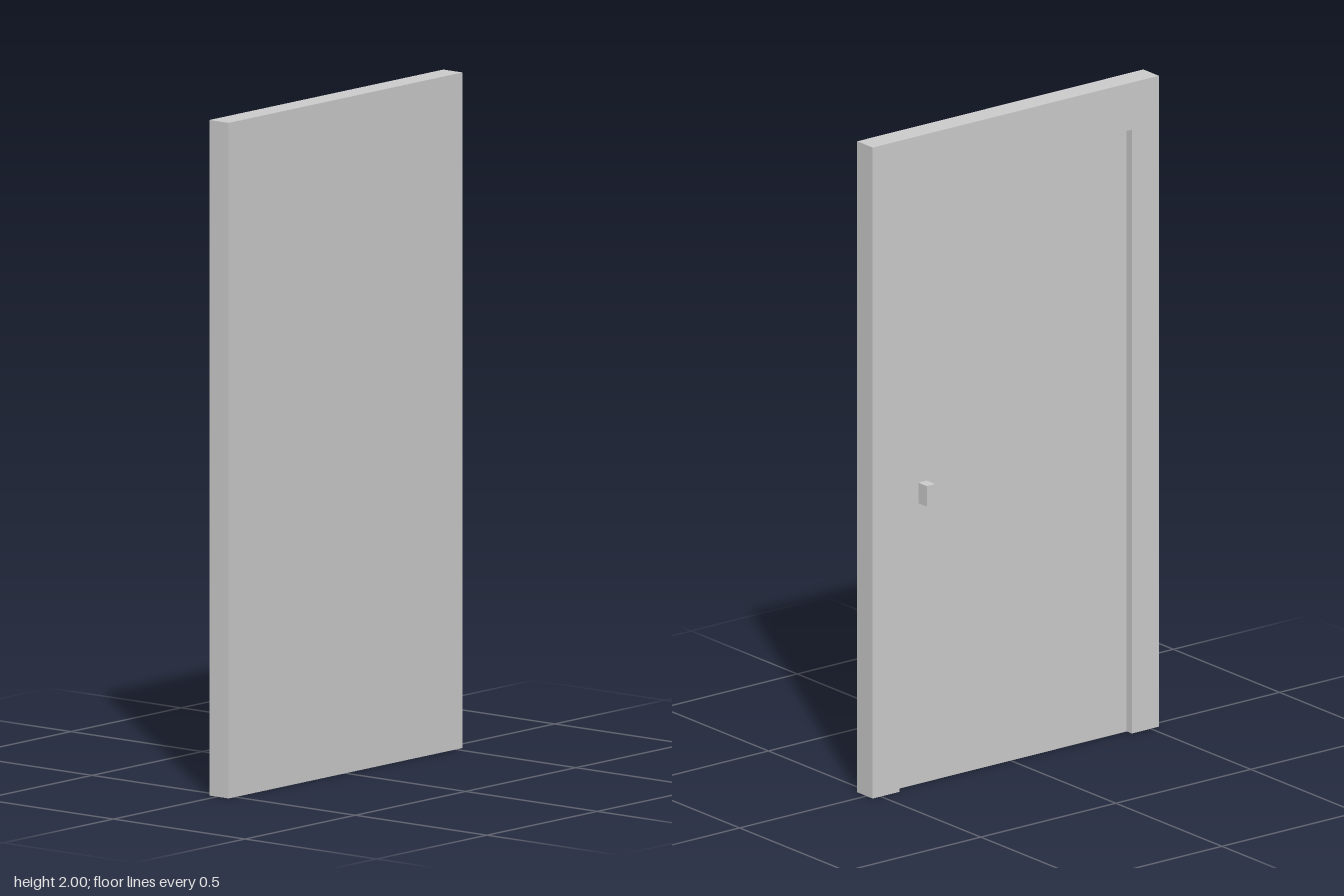
import * as THREE from 'three';

const W = 0.53, H = 2;              // half width (z) and height
const BACK = 0.044, PANEL = -0.005, FACE = -0.029, KNOB = -0.045; // x planes

export function createModel() {
  const group = new THREE.Group();
  const material = new THREE.MeshStandardMaterial({ color: 0xcccccc });
  const add = (name, geometry) => {
    const mesh = new THREE.Mesh(geometry, material);
    mesh.name = name;
    group.add(mesh);
    return mesh;
  };
  // box given by its limits on each axis
  const box = (name, [x0, x1], [y0, y1], [z0, z1]) =>
    add(name, new THREE.BoxGeometry(x1 - x0, y1 - y0, z1 - z0))
      .position.set((x0 + x1) / 2, (y0 + y1) / 2, (z0 + z1) / 2);

  // door leaf, plain on its far side
  box('doorPanel', [PANEL, BACK], [0, H], [-W, W]);

  // raised surround: two jambs and a header, open at the floor
  const jamb = 0.43, head = 1.855;
  const outline = new THREE.Shape([
    [-W, 0], [-jamb, 0], [-jamb, head], [jamb, head],
    [jamb, 0], [W, 0], [W, H], [-W, H],
  ].map(([z, y]) => new THREE.Vector2(z, y)));
  const frame = add('doorFrame', new THREE.ExtrudeGeometry(outline, { depth: PANEL - FACE, bevelEnabled: false }));
  frame.rotation.y = -Math.PI / 2;
  frame.position.x = PANEL;

  // block handle standing out past the surround
  box('handle', [KNOB, PANEL], [0.862, 0.925], [-0.342, -0.311]);

  return group;
}
